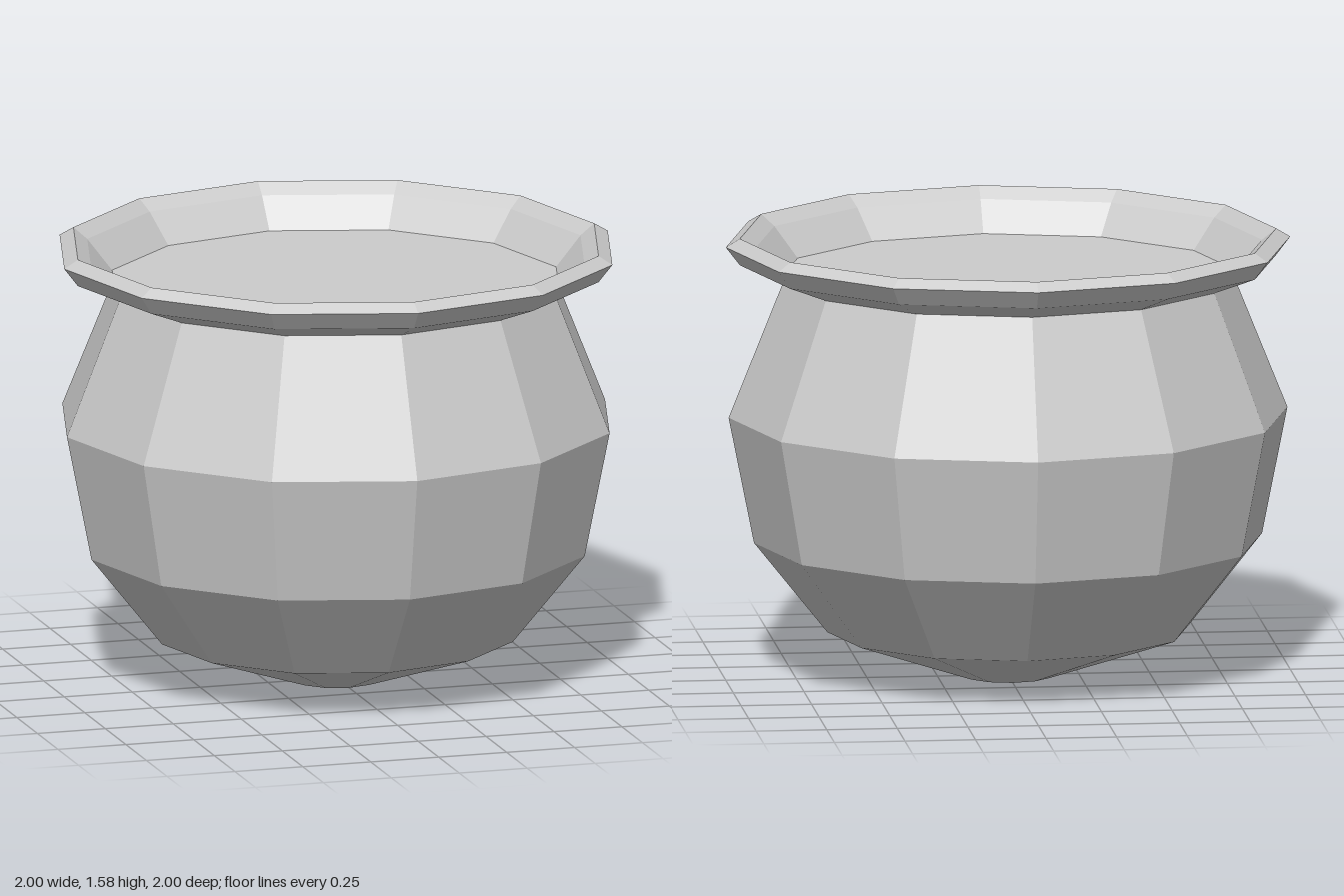
import * as THREE from 'three';

const SIDES = 12;
const material = new THREE.MeshStandardMaterial({ color: 0xcccccc, flatShading: true });

// Faceted ring of faces turned from [radius, height] pairs
function turned(name, profile) {
  const points = profile.map(([r, y]) => new THREE.Vector2(r, y));
  const mesh = new THREE.Mesh(new THREE.LatheGeometry(points, SIDES), material);
  mesh.name = name;
  return mesh;
}

export function createModel() {
  const pot = new THREE.Group();
  pot.name = 'pot';

  // Round belly, from the small flat foot up to the neck
  pot.add(turned('body', [
    [0, 0], [0.16, 0], [0.64, 0.165], [0.9, 0.49], [0.99, 0.94], [0.795, 1.425],
  ]));

  // Flared lip: underside, bevelled edge, then down the inside
  pot.add(turned('rim', [
    [0.795, 1.425], [0.95, 1.485], [1, 1.55], [0.95, 1.58], [0.9, 1.54], [0.81, 1.432],
  ]));

  // Flat surface closing the mouth just below the lip
  const contents = new THREE.Mesh(new THREE.CircleGeometry(0.81, SIDES), material);
  contents.name = 'contents';
  contents.rotation.x = -Math.PI / 2;
  contents.position.y = 1.432;
  pot.add(contents);

  return pot;
}
